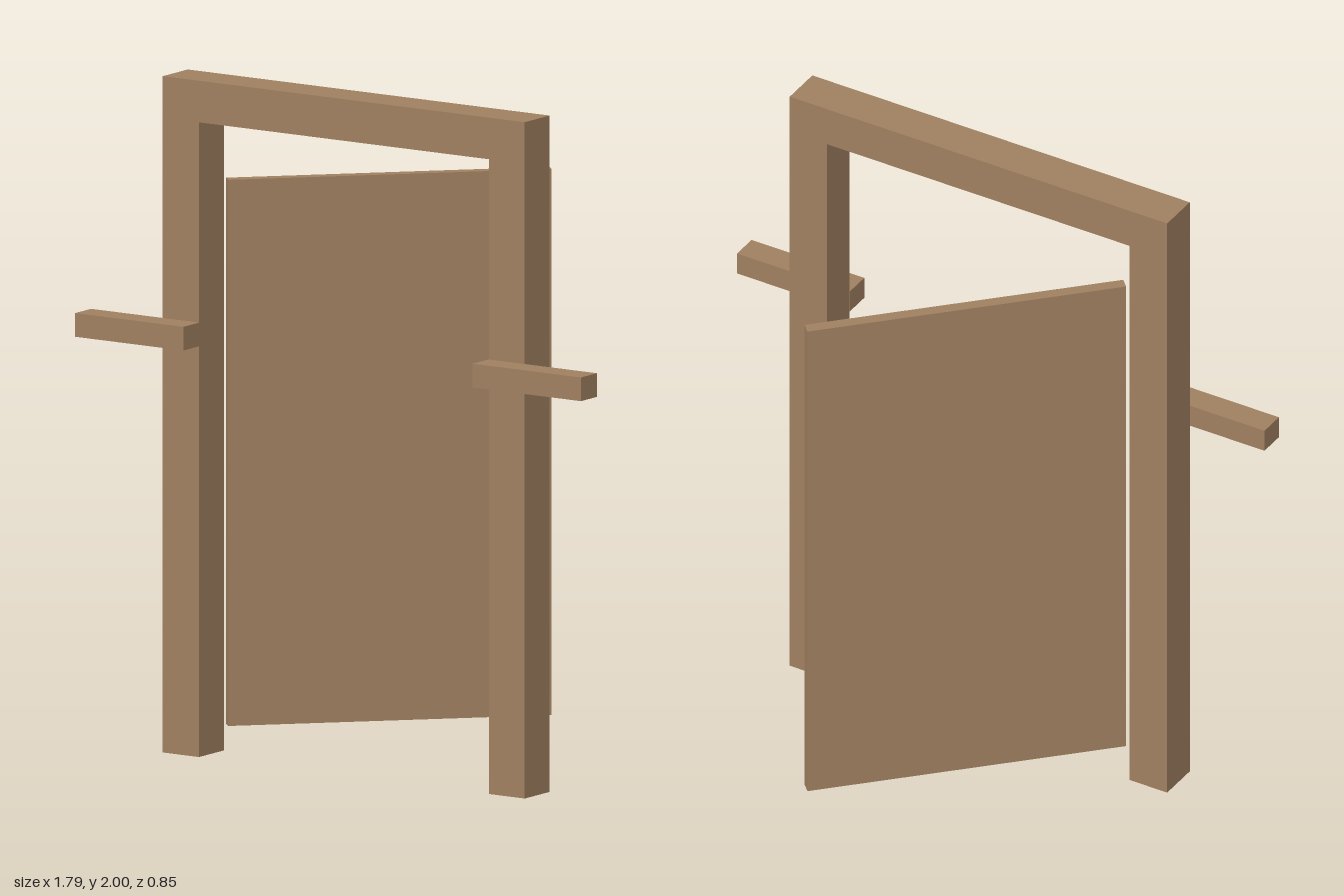
import * as THREE from 'three';

export function createModel() {
  const model = new THREE.Group();
  const wood = new THREE.MeshStandardMaterial({ color: 0xa08060 });
  wood.name = 'wood';

  const add = (name, geometry, x, y, z) => {
    const mesh = new THREE.Mesh(geometry, wood);
    mesh.name = name;
    mesh.position.set(x, y, z);
    model.add(mesh);
    return mesh;
  };

  // Door frame: two posts and a lintel in one piece
  const outline = new THREE.Shape([
    [-0.64, 0], [-0.512, 0], [-0.512, 1.877], [0.512, 1.877],
    [0.512, 0], [0.638, 0], [0.638, 2], [-0.64, 2],
  ].map(([x, y]) => new THREE.Vector2(x, y)));
  add('doorFrame', new THREE.ExtrudeGeometry(outline, { depth: 0.128, bevelEnabled: false }), 0, 0, 0.215);

  // Door panel, hinged at the right post and half open to the back
  const door = add('door', new THREE.BoxGeometry(0.955, 1.615, 0.036), -0.13, 0.895, -0.075);
  door.rotation.y = Math.PI / 4;

  // Rails on the front of each post, reaching outwards
  for (const [name, side] of [['leftRail', 1], ['rightRail', -1]]) {
    add(name, new THREE.BoxGeometry(0.382, 0.07, 0.082), side * 0.702, 1.25, 0.384);
  }

  return model;
}
